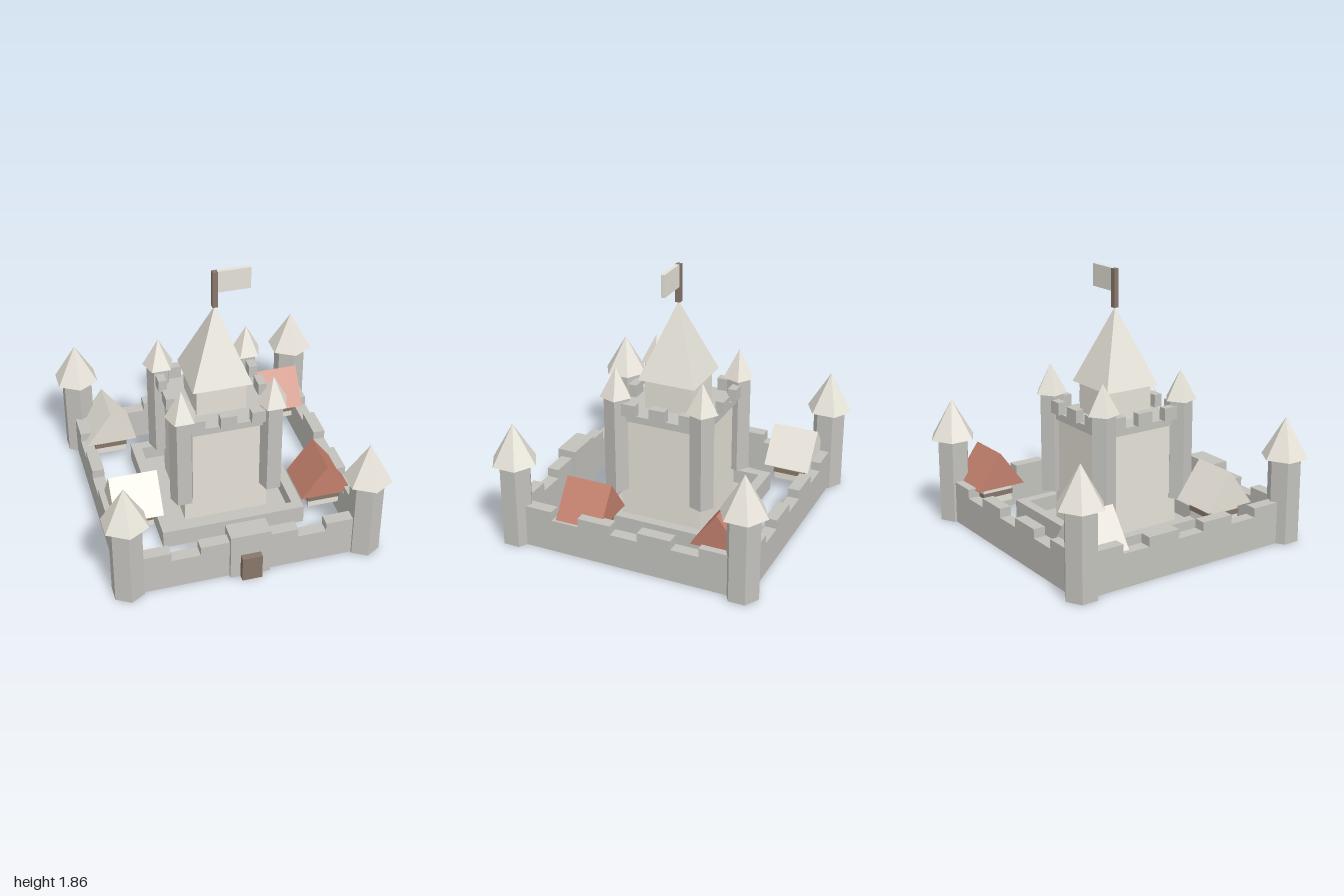
import * as THREE from 'three';

export function createModel() {
  const castle = new THREE.Group();
  castle.name = 'castle';

  const paint = (name, color) => {
    const m = new THREE.MeshStandardMaterial({ color, flatShading: true });
    m.name = name;
    return m;
  };
  const stone = paint('grey stone', 0xc3c2bd);
  const cream = paint('pale plaster', 0xe5e1d7);
  const red = paint('red tile', 0xc3806d);
  const wood = paint('brown wood', 0x88776b);

  const add = (name, geometry, material, x, y, z, parent = castle) => {
    const mesh = new THREE.Mesh(geometry, material);
    mesh.name = name;
    mesh.position.set(x, y, z);
    parent.add(mesh);
    return mesh;
  };
  // Box given by its base height and top height
  const block = (name, material, w, d, y0, y1, x = 0, z = 0, parent = castle) =>
    add(name, new THREE.BoxGeometry(w, y1 - y0, d), material, x, (y0 + y1) / 2, z, parent);
  // Faceted shaft with a pointed roof
  const tower = (name, sides, turn, r, roofR, y0, y1, y2, x, z) => {
    const shaft = new THREE.CylinderGeometry(r, r, y1 - y0, sides).rotateY(turn);
    const roof = new THREE.ConeGeometry(roofR, y2 - y1, sides).rotateY(turn);
    add(name + 'Shaft', shaft, stone, x, (y0 + y1) / 2, z);
    add(name + 'Roof', roof, cream, x, (y1 + y2) / 2, z);
  };

  // Outer walls with battlements, one per side
  for (let i = 0; i < 4; i++) {
    const side = new THREE.Group();
    side.name = 'outerWall';
    side.rotation.y = i * Math.PI / 2;
    castle.add(side);
    block('wall', stone, 1.62, 0.085, 0, 0.235, 0, 0.832, side);
    for (const s of [-1, 1]) {
      block('wallMerlon', stone, 0.24, 0.085, 0.235, 0.3, s * 0.22, 0.832, side);
      block('wallMerlon', stone, 0.22, 0.085, 0.235, 0.3, s * 0.65, 0.832, side);
    }
  }

  // Corner towers and keep turrets
  for (const sx of [-1, 1]) {
    for (const sz of [-1, 1]) {
      tower('cornerTower', 6, 0, 0.116, 0.166, 0, 0.605, 0.885, sx * 0.832, sz * 0.832);
      tower('keepTurret', 5, Math.PI, 0.086, 0.114, 0.268, 0.975, 1.185, sx * 0.32, sz * 0.32);
    }
  }

  // Gatehouse
  block('gatehouse', stone, 0.28, 0.14, 0, 0.355, 0, 0.83);
  block('gateDoor', wood, 0.14, 0.05, 0, 0.19, 0, 0.922);

  // Keep standing on a sunken floor inside a low rim
  block('keepFloor', stone, 1.0, 1.0, 0.02, 0.05);
  for (let i = 0; i < 4; i++) {
    const side = new THREE.Group();
    side.name = 'keepSide';
    side.rotation.y = i * Math.PI / 2;
    castle.add(side);
    block('floorRim', stone, 0.955, 0.07, 0.02, 0.155, 0.0325, 0.475, side);
    for (const x of [-0.22, 0, 0.22]) {
      block('keepMerlon', stone, 0.115, 0.06, 0.85, 0.94, x, 0.33, side);
    }
  }
  block('keepBody', cream, 0.6, 0.6, 0.05, 0.8);
  block('keepLedge', stone, 0.66, 0.66, 0.8, 0.85);
  block('upperKeep', cream, 0.35, 0.35, 0.85, 1.07);
  const spire = new THREE.ConeGeometry(0.21 * Math.SQRT2, 0.535, 4).rotateY(Math.PI / 4);
  add('keepRoof', spire, cream, 0, 1.3325, 0);

  // Flag
  block('flagPole', wood, 0.036, 0.036, 1.595, 1.862);
  block('flag', cream, 0.228, 0.026, 1.705, 1.862, 0.132, 0);

  // Courtyard houses: gable roof with its ridge along local z
  const gable = new THREE.Shape([
    new THREE.Vector2(-0.184, 0), new THREE.Vector2(0.184, 0), new THREE.Vector2(0, 0.252),
  ]);
  const roofGeometry = new THREE.ExtrudeGeometry(gable, { depth: 0.336, bevelEnabled: false })
    .translate(0, 0, -0.168);
  const house = (x, z, eave, turn, roofMaterial) => {
    const g = new THREE.Group();
    g.name = 'house';
    g.position.set(x, eave, z);
    g.rotation.y = turn;
    castle.add(g);
    add('houseRoof', roofGeometry, roofMaterial, 0, 0, 0, g);
    block('houseWall', cream, 0.225, 0.225, -0.13, 0, 0, 0, g);
    block('houseBeam', wood, 0.235, 0.235, -0.08, -0.045, 0, 0, g);
  };
  house(-0.655, -0.64, 0.235, 0, cream);
  house(-0.673, 0.35, 0.337, Math.PI / 2, cream);
  house(0.653, -0.64, 0.285, Math.PI / 2, red);
  house(0.67, 0.352, 0.235, 0, red);

  return castle;
}
